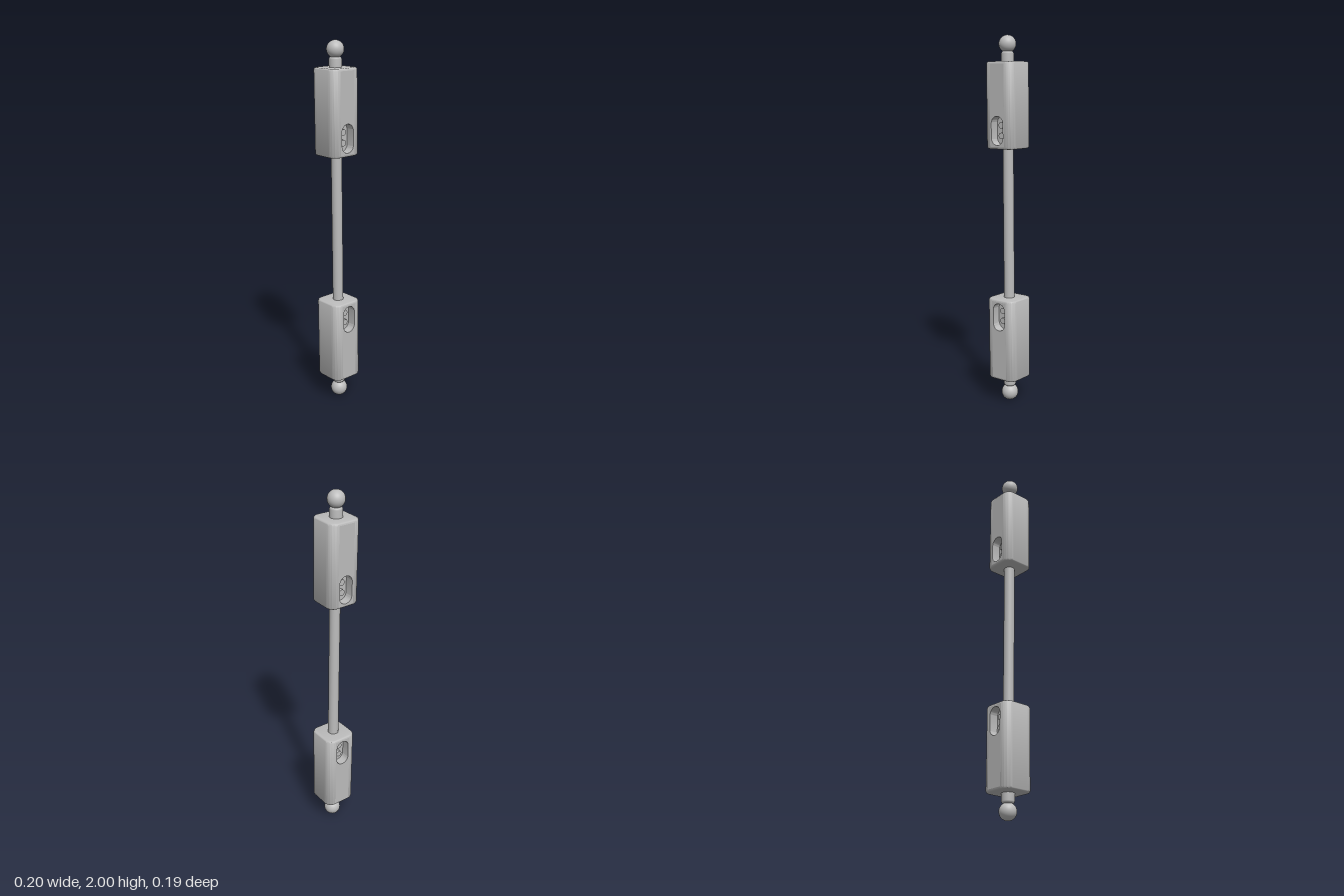
import * as THREE from 'three';
import { toCreasedNormals } from 'three/addons/utils/BufferGeometryUtils.js';

const HALF = 0.092;            // half width of a block
const BOTTOM = 0.408, TOP = 0.863; // block extent, measured from the middle
const CORNER = 0.045, FILLET = 0.012;
const SLOT_Y = 0.505, SLOT_R = 0.039, SLOT_LEN = 0.152, SLOT_DEPTH = 0.05;

function roundedSquare(half, r) {
  const s = new THREE.Shape(), c = half - r;
  [[1, 1], [-1, 1], [-1, -1], [1, -1]].forEach(([x, y], i) =>
    s.absarc(x * c, y * c, r, i * Math.PI / 2, (i + 1) * Math.PI / 2, false));
  return s;
}

function slotPath(PathClass) {
  const p = new PathClass(), h = SLOT_LEN / 2 - SLOT_R;
  p.absarc(0, SLOT_Y + h, SLOT_R, 0, Math.PI, false);
  p.absarc(0, SLOT_Y - h, SLOT_R, Math.PI, Math.PI * 2, false);
  return p;
}

// Filleted block shell, left open where the flat front and back panels go
function blockShell() {
  const geo = new THREE.ExtrudeGeometry(roundedSquare(HALF - FILLET, CORNER - FILLET), {
    depth: TOP - BOTTOM - 2 * FILLET, bevelEnabled: true, bevelSize: FILLET,
    bevelThickness: FILLET, bevelSegments: 4, curveSegments: 10
  });
  geo.rotateX(-Math.PI / 2).translate(0, BOTTOM + FILLET, 0);
  const a = geo.attributes.position.array, kept = [];
  let panelX = 0;
  for (let i = 0; i < a.length; i += 9) {
    const flat = [2, 5, 8].every(k => Math.abs(Math.abs(a[i + k]) - HALF) < 1e-5);
    if (flat) panelX = Math.max(panelX, Math.abs(a[i]), Math.abs(a[i + 3]), Math.abs(a[i + 6]));
    else for (let k = 0; k < 9; k++) kept.push(a[i + k]);
  }
  const shell = new THREE.BufferGeometry();
  shell.setAttribute('position', new THREE.Float32BufferAttribute(kept, 3));
  return { shell: toCreasedNormals(shell, 0.6), panelX };
}

// Flat panel pierced by the slot, thick enough to form the slot walls
function panelGeometry(w) {
  const y0 = BOTTOM + FILLET, y1 = TOP - FILLET;
  const s = new THREE.Shape([[-w, y0], [w, y0], [w, y1], [-w, y1]].map(p => new THREE.Vector2(...p)));
  s.holes.push(slotPath(THREE.Path));
  const geo = new THREE.ExtrudeGeometry(s, { depth: SLOT_DEPTH, bevelEnabled: false, curveSegments: 20 });
  geo.translate(0, 0, HALF - SLOT_DEPTH);
  return toCreasedNormals(geo, 0.6);
}

export function createModel() {
  const grey = new THREE.MeshStandardMaterial({ color: 0xbcbcbc });
  grey.name = 'grey';
  const model = new THREE.Group();
  model.name = 'ballEndedLink';
  const add = (parent, name, geo) => {
    const m = new THREE.Mesh(geo, grey);
    m.name = name;
    parent.add(m);
    return m;
  };

  const { shell, panelX } = blockShell();
  const panel = panelGeometry(panelX);
  const floor = new THREE.ShapeGeometry(slotPath(THREE.Shape), 20);
  floor.translate(0, 0, HALF - SLOT_DEPTH);
  const pin = new THREE.CylinderGeometry(0.017, 0.017, 0.016, 24).rotateX(Math.PI / 2);
  const neck = new THREE.LatheGeometry(
    [[0.034, TOP - 0.01], [0.034, 0.904], [0.031, 0.911], [0.024, 0.917], [0, 0.917]]
      .map(p => new THREE.Vector2(...p)), 32);
  const ball = new THREE.SphereGeometry(0.046, 40, 28).translate(0, 0.954, 0);

  // Everything is tilted very slightly about its middle
  const link = new THREE.Group();
  link.name = 'link';
  link.position.y = 1;
  link.rotation.set(-0.003, 0, 0.012);
  model.add(link);
  add(link, 'rod', new THREE.CylinderGeometry(0.029, 0.029, 2 * BOTTOM + 0.04, 32));

  // Two matching ends, the lower one turned upside down
  for (const [name, turn] of [['upperEnd', 0], ['lowerEnd', Math.PI]]) {
    const end = new THREE.Group();
    end.name = name;
    end.rotation.z = turn;
    link.add(end);
    add(end, 'block', shell);
    add(end, 'neck', neck);
    add(end, 'ball', ball);
    // Slotted panel with two pins, front and back
    for (const [side, yaw] of [['front', 0], ['back', Math.PI]]) {
      const face = new THREE.Group();
      face.name = side + 'Face';
      face.rotation.y = yaw;
      end.add(face);
      add(face, 'slottedPanel', panel);
      add(face, 'slotFloor', floor);
      for (const dy of [-0.028, 0.028])
        add(face, 'pin', pin).position.set(0, SLOT_Y + dy, HALF - SLOT_DEPTH + 0.008);
    }
  }
  return model;
}
